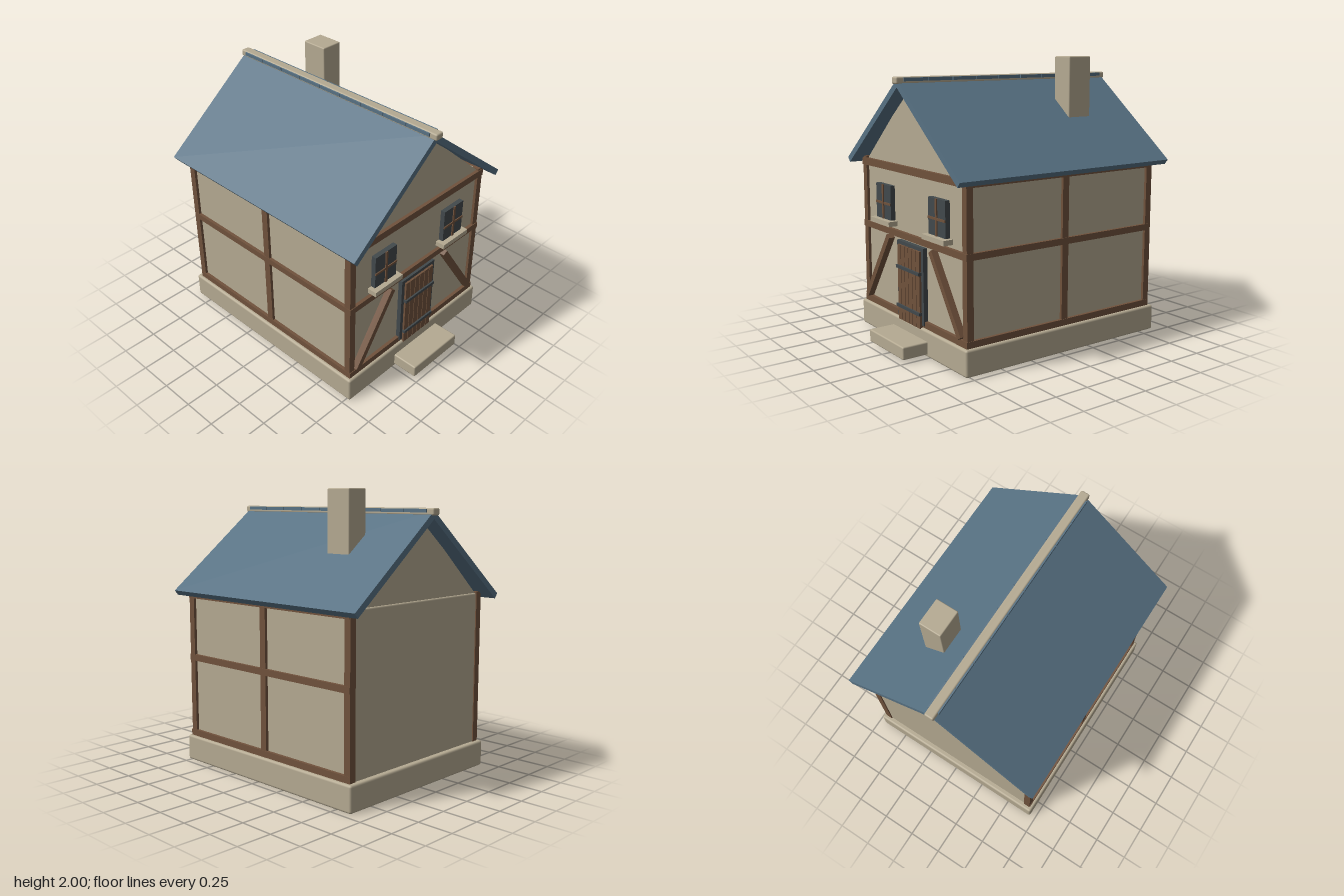
import * as THREE from 'three';
import { RoundedBoxGeometry } from 'three/addons/geometries/RoundedBoxGeometry.js';

const mat = (name, color) => Object.assign(new THREE.MeshStandardMaterial({ color }), { name });

export function createModel() {
  const house = new THREE.Group();
  house.name = 'house';
  const plaster = mat('plaster and stone', 0xb5aa92);
  const timber = mat('timber', 0x70523c);
  const slate = mat('slate', 0x587284);
  const iron = mat('dark iron', 0x42494c);

  const add = (name, geometry, material) => {
    const mesh = new THREE.Mesh(geometry, material);
    mesh.name = name;
    house.add(mesh);
    return mesh;
  };
  // Box given by its min and max on each axis, with an optional bevel
  const box = (name, material, [x0, x1], [y0, y1], [z0, z1], bevel = 0) => {
    const size = [x1 - x0, y1 - y0, z1 - z0];
    const geometry = bevel ? new RoundedBoxGeometry(...size, 2, bevel) : new THREE.BoxGeometry(...size);
    const mesh = add(name, geometry, material);
    mesh.position.set((x0 + x1) / 2, (y0 + y1) / 2, (z0 + z1) / 2);
    return mesh;
  };
  // Outline in x and y, extruded from z0 to z1
  const prism = (name, material, points, z0, z1) => {
    const shape = new THREE.Shape(points.map(([x, y]) => new THREE.Vector2(x, y)));
    const geometry = new THREE.ExtrudeGeometry(shape, { depth: z1 - z0, bevelEnabled: false });
    return add(name, geometry.translate(0, 0, z0), material);
  };
  // Interval around the origin, mirrored by side
  const span = (side, a, b) => (side > 0 ? [a, b] : [-b, -a]);

  // Stone base, doorstep, walls and gable
  box('foundation', plaster, [-0.705, 0.705], [0, 0.185], [-0.88, 0.78], 0.016);
  box('doorstep', plaster, [-0.235, 0.235], [0.02, 0.11], [0.7, 0.97], 0.01);
  box('walls', plaster, [-0.66, 0.66], [0.17, 1.27], [-0.842, 0.735], 0.012);
  prism('gable', plaster, [[-0.645, 1.26], [0.645, 1.26], [0, 1.825]], -0.83, 0.735);

  // Timber frame: horizontal beams on front and sides
  const levels = [['sillBeam', 0.185, 0.23], ['middleBeam', 0.755, 0.8], ['topBeam', 1.215, 1.267]];
  for (const [name, y0, y1] of levels) {
    box(name + 'Front', timber, [-0.683, 0.683], [y0, y1], [0.7, 0.76]);
    for (const s of [-1, 1]) box(name + 'Side', timber, span(s, 0.635, 0.683), [y0, y1], [-0.845, 0.7]);
  }

  for (const s of [-1, 1]) {
    // Upright posts along each side wall
    for (const [z0, z1] of [[-0.85, -0.8], [-0.072, -0.02], [0.705, 0.755]]) {
      box('post', timber, span(s, 0.63, 0.68), [0.185, 1.28], [z0, z1]);
    }
    // Diagonal front brace
    const from = new THREE.Vector2(s * 0.622, 0.242), to = new THREE.Vector2(s * 0.282, 0.745);
    const length = from.distanceTo(to);
    const brace = add('brace', new THREE.BoxGeometry(0.042, length, 0.06), timber);
    brace.position.set((from.x + to.x) / 2, (from.y + to.y) / 2, 0.752);
    brace.rotation.z = Math.atan2(from.x - to.x, to.y - from.y);

    // Window with glazing bars and sill
    const cx = s * 0.356;
    box('windowPane', iron, [cx - 0.104, cx + 0.104], [0.86, 1.107], [0.72, 0.77]);
    box('windowBarVertical', timber, [cx - 0.009, cx + 0.009], [0.86, 1.107], [0.765, 0.778]);
    box('windowBarHorizontal', timber, [cx - 0.104, cx + 0.104], [0.966, 0.982], [0.765, 0.777]);
    box('windowSill', plaster, [cx - 0.135, cx + 0.135], [0.823, 0.858], [0.72, 0.806]);

    // Sloping roof slab
    const slope = [[0, 1.803], [0.718, 1.233], [0.745, 1.267], [0, 1.857]];
    const outline = slope.map(([x, y]) => [s * x, y]);
    prism('roofSlope', slate, outline, -0.945, 0.845);
  }

  // Plank door with iron frame and straps
  box('doorFrame', iron, [-0.174, 0.174], [0.2, 0.74], [0.72, 0.768]);
  for (let i = 0; i < 6; i++) {
    const x = (i - 2.5) * 0.0495;
    box('doorPlank', timber, [x - 0.022, x + 0.022], [0.177, 0.715], [0.755, 0.783]);
  }
  for (const y of [0.28, 0.56]) box('doorStrap', iron, [-0.153, 0.153], [y - 0.011, y + 0.011], [0.77, 0.795]);

  // Ridge cap with slate tiles tucked under its edges
  box('ridgeCap', plaster, [-0.033, 0.033], [1.827, 1.874], [-0.965, 0.865], 0.011);
  for (let i = 0; i < 9; i++) {
    const z = -0.05 + (i - 4) * 0.192;
    box('ridgeTile', slate, [-0.042, 0.042], [1.845, 1.868], [z - 0.093, z + 0.093]);
  }

  // Chimney
  box('chimney', plaster, [0.195, 0.358], [1.55, 2], [-0.533, -0.337], 0.008);
  return house;
}
